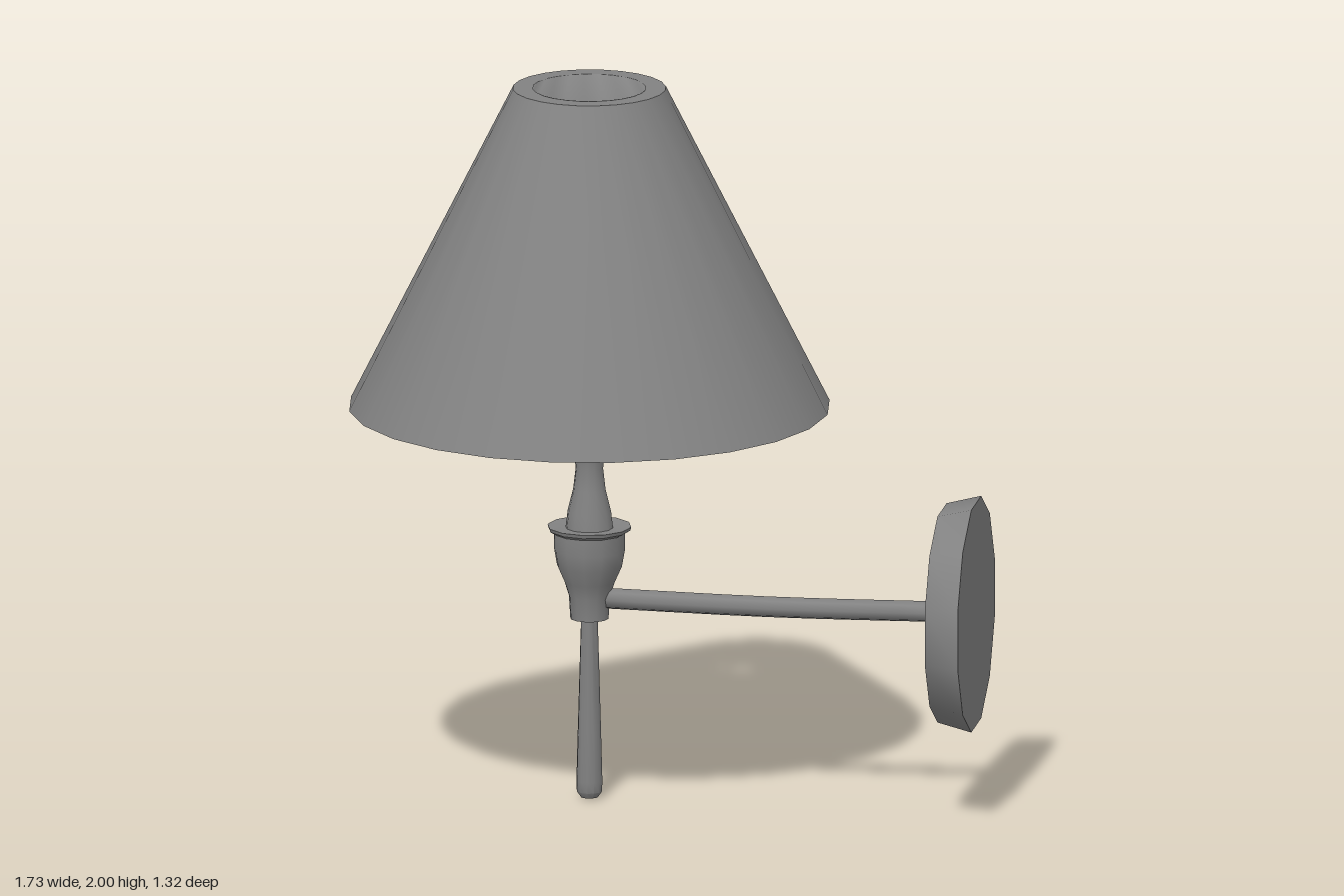
import * as THREE from 'three';
import { toCreasedNormals } from 'three/addons/utils/BufferGeometryUtils.js';

const AXIS_X = -0.207; // vertical axis of the shade and stem

export function createModel() {
  const group = new THREE.Group();
  const material = new THREE.MeshStandardMaterial({ color: 0x828282 });

  function add(name, geometry, x = 0, y = 0, crease = 0.7) {
    const mesh = new THREE.Mesh(toCreasedNormals(geometry, crease), material);
    mesh.name = name;
    mesh.position.set(x, y, 0);
    group.add(mesh);
  }

  // Turned part on the stem axis; profile is [radius, height] pairs
  function turned(name, profile, sides = 12, crease = 0.7) {
    const points = profile.map(([r, y]) => new THREE.Vector2(r, y));
    add(name, new THREE.LatheGeometry(points, sides), AXIS_X, 0, crease);
  }

  // Hollow conical shade: outer wall with top ring, softly rounded lining, bottom rim
  turned('shade', [[0.66, 1.105], [0.21, 2], [0.158, 2]], 24, 0.6);
  turned('shadeLining', [[0.158, 2], [0.155, 2], [0.62, 1.105]], 24, Math.PI);
  turned('shadeRim', [[0.62, 1.105], [0.66, 1.105]], 24);

  // Tapered drop below the cup
  turned('pendantRod', [
    [0, 0], [0.024, 0.004], [0.035, 0.02], [0.036, 0.05], [0.032, 0.2], [0.023, 0.51], [0, 0.52],
  ]);

  // Cup with a flared lip
  turned('cup', [
    [0, 0.507], [0.053, 0.507], [0.057, 0.57], [0.07, 0.61], [0.09, 0.655], [0.098, 0.7],
    [0.098, 0.748], [0.113, 0.757], [0.116, 0.767], [0.085, 0.765], [0, 0.755],
  ]);

  // Waisted candle and its slim upper neck
  turned('candle', [
    [0.066, 0.76], [0.06, 0.81], [0.045, 0.87], [0.038, 0.93], [0.044, 0.98], [0.058, 1.03],
    [0.062, 1.07], [0.055, 1.11], [0.045, 1.15], [0.038, 1.18], [0.037, 1.25],
  ], 12, 1);

  // Collar and flared holder
  turned('bulbHolder', [
    [0, 1.235], [0.052, 1.235], [0.06, 1.25], [0.052, 1.265], [0.045, 1.28],
    [0.05, 1.31], [0.06, 1.34], [0.062, 1.39], [0.088, 1.44], [0.095, 1.46], [0, 1.465],
  ]);

  // Round bulb
  add('bulb', new THREE.SphereGeometry(0.1, 20, 14), AXIS_X, 1.54, 1);

  // Arm to the wall, bowed slightly downward
  const armCurve = new THREE.CatmullRomCurve3([
    new THREE.Vector3(-0.2, 0.565, 0),
    new THREE.Vector3(0.3, 0.558, 0),
    new THREE.Vector3(0.78, 0.563, 0),
  ]);
  add('arm', new THREE.TubeGeometry(armCurve, 8, 0.029, 8), 0, 0, 1);

  // Twelve-sided wall plate with a bevelled edge
  const plate = new THREE.CylinderGeometry(0.324, 0.3, 0.095, 12, 1, false, Math.PI / 12);
  plate.rotateZ(-Math.PI / 2);
  add('wallPlate', plate, 0.8175, 0.56);

  return group;
}
